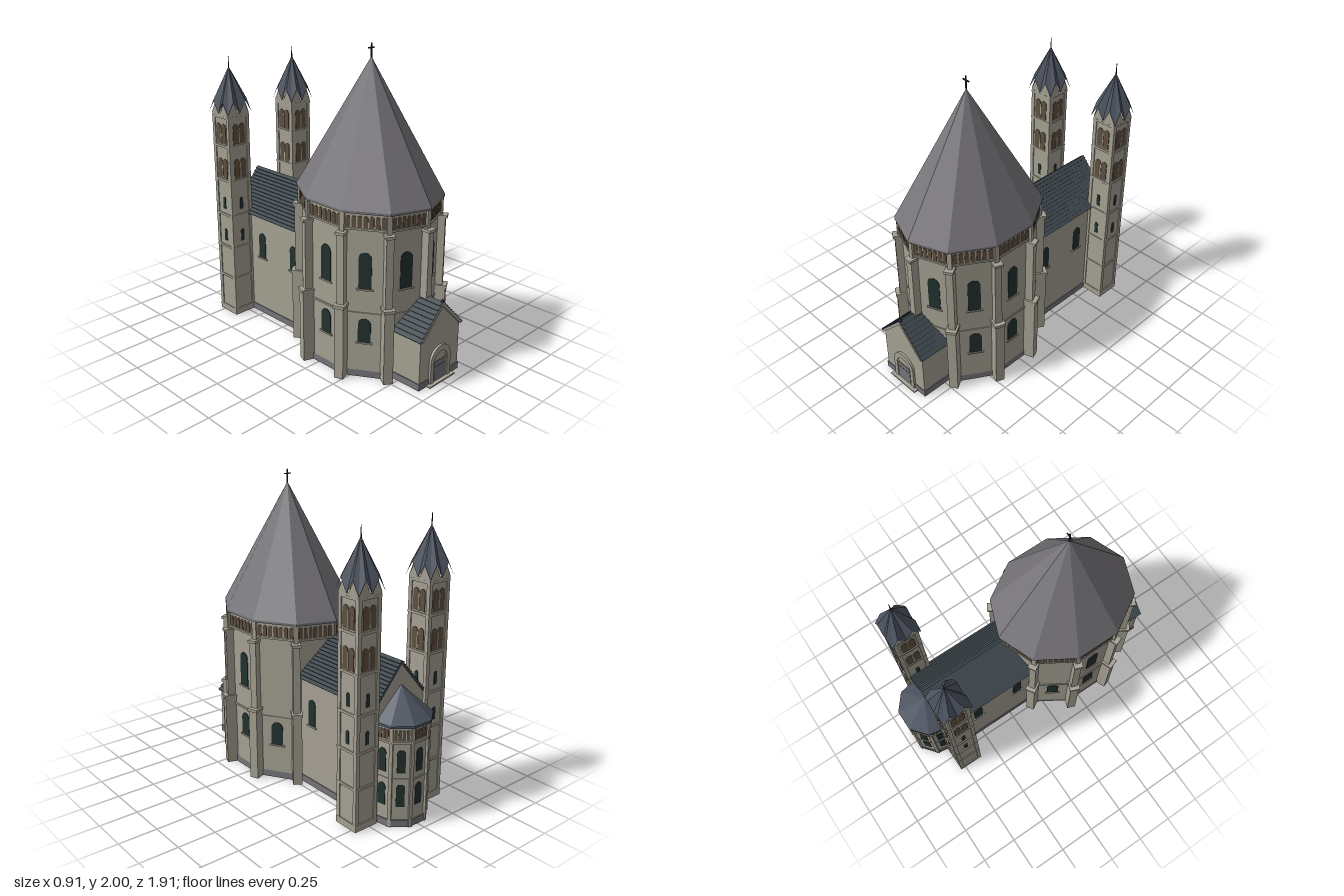
import * as THREE from 'three';

const mat = (name, color, side = THREE.FrontSide) => {
  const m = new THREE.MeshStandardMaterial({ color, side });
  m.name = name;
  return m;
};

export function createModel() {
  const stone = mat('stone', 0xa5a193, THREE.DoubleSide);
  const plinth = mat('plinth grey', 0x75747a, THREE.DoubleSide);
  const greyRoof = mat('grey roof', 0x77757a);
  const slate = mat('dark slate', 0x3c464c);
  const blueRoof = mat('blue slate', 0x4e5562, THREE.DoubleSide);
  const glass = mat('window glass', 0x22322f);
  const louvre = mat('brown louvre', 0x5f5040);
  const iron = mat('iron', 0x222426);
  const model = new THREE.Group();
  model.name = 'church';

  // ---- helpers ----
  const add = (parent, name, geo, material, x = 0, y = 0, z = 0) => {
    const m = new THREE.Mesh(geo, material);
    m.name = name;
    m.position.set(x, y, z);
    parent.add(m);
    return m;
  };
  const group = (parent, name, x = 0, y = 0, z = 0, ry = 0) => {
    const g = new THREE.Group();
    g.name = name;
    g.position.set(x, y, z);
    g.rotation.y = ry;
    parent.add(g);
    return g;
  };
  const box = (parent, name, w, y0, y1, d, material, x = 0, z = 0) =>
    add(parent, name, new THREE.BoxGeometry(w, y1 - y0, d), material, x, (y0 + y1) / 2, z);
  const flat = (geo) => {
    const g = geo.index ? geo.toNonIndexed() : geo;
    g.computeVertexNormals();
    return g;
  };
  // faceted prism or pyramid with a vertex at +z, stretched to rx by rz
  const prism = (parent, name, n, rx, rz, y0, y1, material, z, top = 1, open = true) => {
    const g = new THREE.CylinderGeometry(top, 1, y1 - y0, n, 1, open);
    g.scale(rx, 1, rz);
    return add(parent, name, flat(g), material, 0, (y0 + y1) / 2, z);
  };
  const extrude = (shape, depth) =>
    new THREE.ExtrudeGeometry(shape, { depth, bevelEnabled: false, curveSegments: 8 });
  const poly = (pts) => new THREE.Shape(pts.map(([x, y]) => new THREE.Vector2(x, y)));
  const arch = (w, h, Kind = THREE.Shape) => {
    const s = new Kind();
    s.moveTo(-w / 2, 0);
    s.lineTo(w / 2, 0);
    s.lineTo(w / 2, h - w / 2);
    s.absarc(0, h - w / 2, w / 2, 0, Math.PI, false);
    s.lineTo(-w / 2, 0);
    return s;
  };
  // thin arched plate standing on the surface z
  const archPlate = (parent, name, w, y0, y1, material, x = 0, z = 0) =>
    add(parent, name, extrude(arch(w, y1 - y0), 0.008), material, x, y0, z - 0.004);
  const archWindow = (parent, w, y0, y1) => {
    archPlate(parent, 'window', w, y0, y1, glass);
    box(parent, 'sill', w + 0.025, y0 - 0.01, y0, 0.02, stone);
  };
  const corner = (n, rx, rz, i) => {
    const a = (i * 2 * Math.PI) / n;
    return [rx * Math.sin(a), rz * Math.cos(a)];
  };
  // local frame on side i of a faceted ring, +z pointing outward
  const side = (parent, n, rx, rz, i, zc) => {
    const [x0, z0] = corner(n, rx, rz, i), [x1, z1] = corner(n, rx, rz, i + 1);
    const g = group(parent, 'wallSide', (x0 + x1) / 2, 0, zc + (z0 + z1) / 2, Math.atan2(z0 - z1, x1 - x0));
    g.userData.width = Math.hypot(x1 - x0, z1 - z0);
    return g;
  };
  const arcade = (g, count, y0, y1) => {
    const pitch = (g.userData.width - 0.03) / count;
    for (let k = 0; k < count; k++)
      archPlate(g, 'arcadeArch', pitch * 0.74, y0, y1, louvre, (k - (count - 1) / 2) * pitch);
  };
  // gabled roof with overlapping courses
  const courseRoof = (parent, name, half, y0, y1, courses, z0, z1) => {
    const right = [];
    const lift = 0.009;
    for (let i = 0; i < courses; i++) {
      const t = i / courses, u = (i + 1) / courses;
      right.push([half * (1 - t), y0 + (y1 - y0) * t]);
      right.push([half * (1 - t) + lift * 0.6, y0 + (y1 - y0) * t + lift * 0.6]);
      if (i < courses - 1) right.push([half * (1 - u), y0 + (y1 - y0) * u - 0.001]);
    }
    const left = right.map(([x, y]) => [-x, y]).reverse();
    const pts = [...right, [0, y1], ...left, [-half + 0.015, y0], [0, y1 - 0.02], [half - 0.015, y0]];
    add(parent, name, extrude(poly(pts), z1 - z0), slate, 0, 0, z0);
  };

  // ---- ten-sided main hall ----
  const C = 0.315, RX = 0.395, RZ = 0.46;
  const hall = group(model, 'mainHall');
  prism(hall, 'hallWall', 10, RX, RZ, 0, 1.0, stone, C);
  prism(hall, 'hallPlinth', 10, RX + 0.006, RZ + 0.006, 0, 0.045, plinth, C);
  prism(hall, 'stringCourse', 10, RX + 0.006, RZ + 0.006, 0.43, 0.442, stone, C, 1, false);
  prism(hall, 'galleryWall', 10, 0.405, 0.475, 0.985, 1.09, stone, C, 1, false);
  prism(hall, 'galleryLedge', 10, 0.412, 0.482, 0.98, 0.992, stone, C, 1, false);
  prism(hall, 'eaves', 10, 0.42, 0.495, 1.085, 1.1, greyRoof, C, 1, false);
  prism(hall, 'hallRoof', 10, 0.42, 0.495, 1.1, 1.92, greyRoof, C, 0, false);
  for (let i = 0; i < 10; i++) {
    const g = side(hall, 10, RX, RZ, i, C);
    const fromFront = Math.min(i, 9 - i);
    if (fromFront < 3) archWindow(g, 0.08, 0.6, 0.835);
    if (fromFront > 0 && fromFront < 4) archWindow(g, 0.08, 0.24, 0.4);
    arcade(side(hall, 10, 0.405, 0.475, i, C), 7, 0.997, 1.068);
    // buttress on each corner, except where the nave joins
    if (i === 5) continue;
    const [x, z] = corner(10, RX, RZ, i);
    const b = group(hall, 'buttress', x, 0, C + z, Math.atan2(x, z));
    box(b, 'lowerButtress', 0.06, 0, 0.48, 0.1, stone, 0, 0.012);
    box(b, 'lowerCap', 0.072, 0.48, 0.5, 0.115, stone, 0, 0.012);
    box(b, 'upperButtress', 0.046, 0.5, 0.95, 0.08, stone, 0, 0.002);
    box(b, 'upperCap', 0.058, 0.95, 0.968, 0.1, stone, 0, 0.004);
    box(b, 'galleryPier', 0.03, 0.968, 1.088, 0.04, stone, 0, 0.003);
  }
  box(hall, 'crossPost', 0.007, 1.9, 2.0, 0.007, iron, 0, C);
  box(hall, 'crossArm', 0.05, 1.968, 1.975, 0.007, iron, 0, C);

  // ---- entrance porch ----
  const porch = group(model, 'porch');
  add(porch, 'porchWall', extrude(poly([[-0.185, 0], [0.185, 0], [0.185, 0.34], [0, 0.52], [-0.185, 0.34]]), 0.265), stone, 0, 0, 0.65);
  box(porch, 'porchPlinth', 0.382, 0, 0.045, 0.262, plinth, 0, 0.789);
  courseRoof(porch, 'porchRoof', 0.2, 0.33, 0.535, 9, 0.66, 0.928);
  add(porch, 'gableTrim', extrude(poly([[0.2, 0.328], [0, 0.533], [-0.2, 0.328], [-0.178, 0.328], [0, 0.508], [0.178, 0.328]]), 0.02), stone, 0, 0, 0.911);
  add(porch, 'gableBall', new THREE.SphereGeometry(0.011, 10, 8), iron, 0, 0.538, 0.92);
  const ring = arch(0.19, 0.245);
  ring.holes.push(arch(0.13, 0.205, THREE.Path));
  add(porch, 'portalArch', extrude(ring, 0.018), stone, 0, 0, 0.912);
  const innerRing = arch(0.13, 0.205);
  innerRing.holes.push(arch(0.112, 0.19, THREE.Path));
  add(porch, 'innerArch', extrude(innerRing, 0.008), stone, 0, 0, 0.914);
  archPlate(porch, 'tympanum', 0.115, 0.01, 0.19, stone, 0, 0.917);
  box(porch, 'door', 0.11, 0.01, 0.145, 0.006, plinth, 0, 0.922);
  box(porch, 'doorRail', 0.1, 0.108, 0.111, 0.004, iron, 0, 0.924);
  box(porch, 'doorstep', 0.24, 0, 0.01, 0.06, stone, 0, 0.92);

  // ---- nave ----
  const nave = group(model, 'nave');
  add(nave, 'naveWall', extrude(poly([[-0.2, 0], [0.2, 0], [0.2, 0.755], [0, 0.985], [-0.2, 0.755]]), 0.7), stone, 0, 0, -0.765);
  box(nave, 'navePlinth', 0.412, 0, 0.045, 0.69, plinth, 0, -0.41);
  courseRoof(nave, 'naveRoof', 0.225, 0.735, 1.0, 14, -0.77, -0.05);
  for (const s of [-1, 1])
    for (const z of [-0.18, -0.5])
      archWindow(group(nave, 'naveWindow', s * 0.2, 0, z, (s * Math.PI) / 2), 0.066, 0.43, 0.61);

  // ---- apse ----
  const apse = group(model, 'apse');
  const A = -0.77;
  prism(apse, 'apseWall', 9, 0.182, 0.177, 0, 0.66, stone, A, 1, false);
  prism(apse, 'apsePlinth', 9, 0.19, 0.184, 0, 0.045, plinth, A, 1, false);
  prism(apse, 'apseGallery', 9, 0.188, 0.182, 0.555, 0.66, stone, A, 1, false);
  prism(apse, 'apseLedge', 9, 0.195, 0.19, 0.548, 0.56, stone, A, 1, false);
  prism(apse, 'apseEaves', 9, 0.205, 0.198, 0.65, 0.665, blueRoof, A, 1, false);
  prism(apse, 'apseRoof', 9, 0.205, 0.198, 0.665, 0.85, blueRoof, A, 0, false);
  for (let i = 2; i <= 6; i++) {
    const g = side(apse, 9, 0.182, 0.177, i, A);
    archPlate(g, 'upperWindow', 0.052, 0.355, 0.505, glass);
    archPlate(g, 'lowerWindow', 0.052, 0.135, 0.28, glass);
    box(g, 'apseBand', g.userData.width, 0.31, 0.32, 0.01, stone);
    arcade(side(apse, 9, 0.188, 0.182, i, A), 4, 0.57, 0.635);
    if (i === 2) continue;
    const [x, z] = corner(9, 0.182, 0.177, i);
    const p = group(apse, 'apsePilaster', x, 0, A + z, Math.atan2(x, z));
    box(p, 'pilaster', 0.022, 0, 0.65, 0.02, stone);
  }

  // ---- twin towers ----
  // square ring with low corners and mid points and high quarter points
  const ringPoints = (h) => {
    const pts = [];
    for (let s = 0; s < 4; s++)
      for (let k = 0; k < 4; k++) {
        const u = -h + (k * h) / 2, a = (s * Math.PI) / 2;
        pts.push([u * Math.cos(a) + h * Math.sin(a), k % 2 ? 1.54 : 1.455, -u * Math.sin(a) + h * Math.cos(a)]);
      }
    return pts;
  };
  const foldedGeometry = (h, apex) => {
    const v = [], pts = ringPoints(h);
    pts.forEach((p, i) => {
      const q = pts[(i + 1) % pts.length];
      if (apex) v.push(...p, ...q, 0, apex, 0);
      else {
        const a = [p[0], 1.44, p[2]], b = [q[0], 1.44, q[2]];
        v.push(...a, ...b, ...q, ...a, ...q, ...p);
      }
    });
    const g = new THREE.BufferGeometry();
    g.setAttribute('position', new THREE.Float32BufferAttribute(v, 3));
    return flat(g);
  };
  for (const s of [-1, 1]) {
    const t = group(model, s > 0 ? 'leftTower' : 'rightTower', s * 0.278, 0, -0.7);
    box(t, 'towerShaft', 0.16, 0, 1.45, 0.16, stone);
    for (const y of [0.0, 0.27, 0.5, 0.735, 0.985, 1.225, 1.425])
      box(t, 'towerBand', 0.174, y, y + (y ? 0.016 : 0.045), 0.174, stone);
    for (const x of [-1, 1])
      for (const z of [-1, 1]) box(t, 'cornerPilaster', 0.026, 0, 1.44, 0.026, stone, x * 0.073, z * 0.073);
    add(t, 'towerGables', foldedGeometry(0.086), stone);
    add(t, 'towerRoof', foldedGeometry(0.1, 1.76), blueRoof);
    add(t, 'finial', new THREE.CylinderGeometry(0.002, 0.005, 0.09, 6), iron, 0, 1.78, 0);
    for (let k = 0; k < 4; k++) {
      const a = (k * Math.PI) / 2;
      const f = group(t, 'towerFace', 0.08 * Math.sin(a), 0, 0.08 * Math.cos(a), a);
      for (const y of [1.008, 1.25]) {
        for (const x of [-0.026, 0.026]) archPlate(f, 'belfryOpening', 0.044, y, y + 0.138, louvre, x);
        box(f, 'belfryColumn', 0.008, y, y + 0.11, 0.014, stone);
      }
      for (const y of [0.55, 0.785]) archPlate(f, 'slitWindow', 0.025, y, y + 0.085, glass);
    }
  }
  return model;
}
